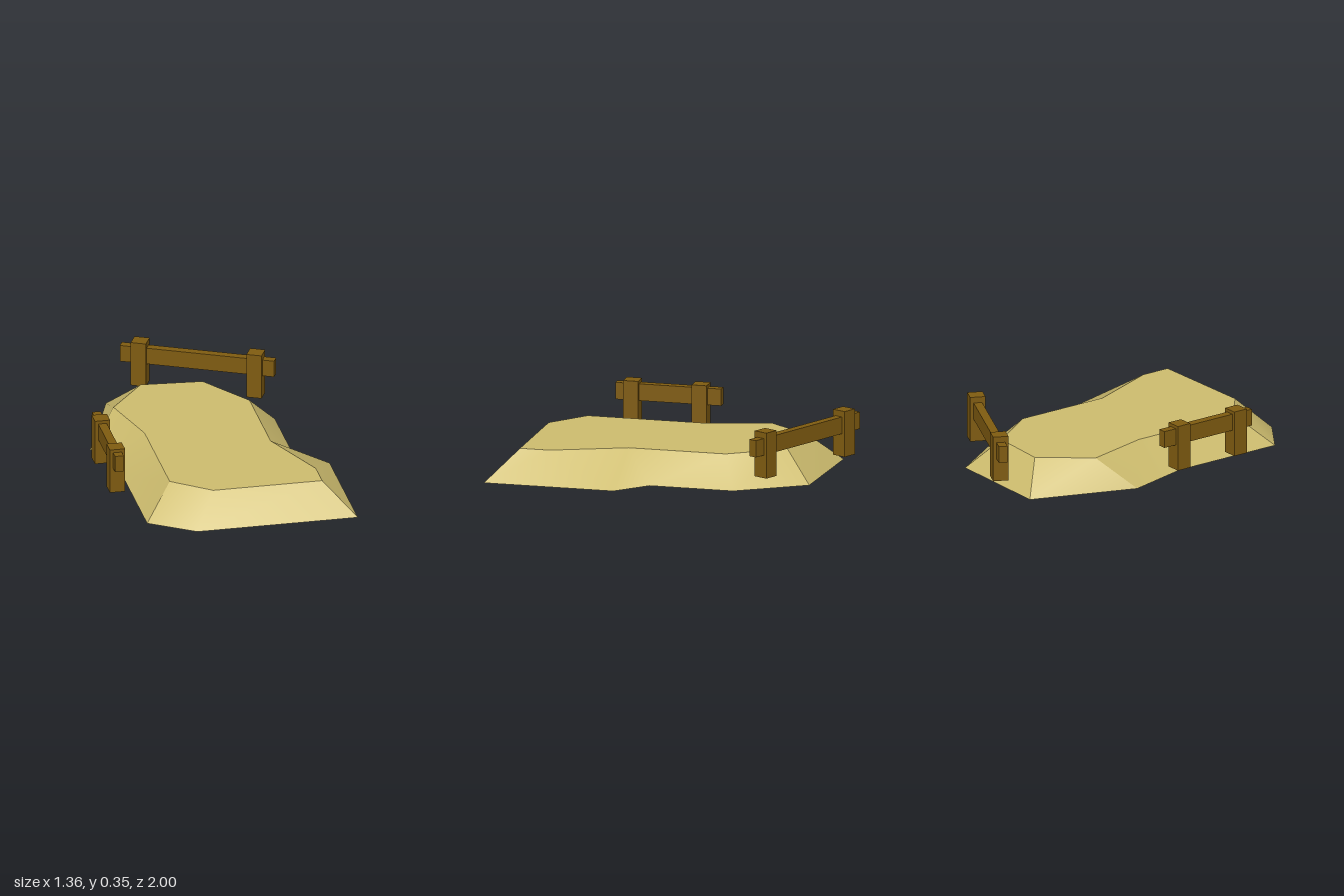
import * as THREE from 'three';
import { toCreasedNormals } from 'three/addons/utils/BufferGeometryUtils.js';

const HEIGHT = 0.175;

// Ground outline and plateau outline as matching [x, z] corners
const FOOT = [[-0.41, -0.87], [0.25, -0.84], [0.5, -0.45], [0.5, 0.05], [0.68, 0.22],
  [0.68, 0.995], [-0.27, 0.995], [-0.53, 0.82], [-0.53, 0.13], [-0.635, -0.26]];
const RIM = [[-0.24, -0.705], [0.12, -0.675], [0.33, -0.36], [0.33, 0.22], [0.505, 0.65],
  [0.505, 0.825], [-0.14, 0.825], [-0.36, 0.65], [-0.36, -0.04], [-0.46, -0.43]];

// Sloping banks between the two outlines, open underneath
function banksGeometry() {
  const pos = [];
  const n = FOOT.length;
  const foot = (i) => [FOOT[i][0], 0, FOOT[i][1]];
  const rim = (i) => [RIM[i][0], HEIGHT, RIM[i][1]];
  for (let i = 0; i < n; i++) {
    const j = (i + 1) % n;
    pos.push(...foot(j), ...foot(i), ...rim(i), ...foot(j), ...rim(i), ...rim(j));
  }
  const geo = new THREE.BufferGeometry();
  geo.setAttribute('position', new THREE.Float32BufferAttribute(pos, 3));
  geo.computeVertexNormals();
  return toCreasedNormals(geo, 0.55);
}

// Flat plateau
function plateauGeometry() {
  const shape = new THREE.Shape(RIM.map(([x, z]) => new THREE.Vector2(x, -z)));
  return new THREE.ShapeGeometry(shape).rotateX(-Math.PI / 2).translate(0, HEIGHT, 0);
}

function addMesh(parent, name, geometry, material) {
  const mesh = new THREE.Mesh(geometry, material);
  mesh.name = name;
  parent.add(mesh);
  return mesh;
}

// One rail through two square posts, running along local x
function makeFence(name, material, railLength, postXs, postBottom, postTop) {
  const fence = new THREE.Group();
  fence.name = name;
  addMesh(fence, 'rail', new THREE.BoxGeometry(railLength, 0.1, 0.05), material).position.y = 0.269;
  for (const x of postXs) {
    const post = addMesh(fence, 'post', new THREE.BoxGeometry(0.09, postTop - postBottom, 0.09), material);
    post.position.set(x, (postTop + postBottom) / 2, 0);
  }
  return fence;
}

export function createModel() {
  const model = new THREE.Group();
  model.name = 'fencedMound';

  const sand = new THREE.MeshStandardMaterial({ color: 0xcdbc6e, side: THREE.DoubleSide });
  sand.name = 'sand';
  const wood = new THREE.MeshStandardMaterial({ color: 0x7f5b10 });
  wood.name = 'wood';

  const mound = new THREE.Group();
  mound.name = 'mound';
  addMesh(mound, 'banks', banksGeometry(), sand);
  addMesh(mound, 'plateau', plateauGeometry(), sand);
  model.add(mound);

  // Fence along the right bank
  const sideFence = makeFence('sideFence', wood, 0.635, [-0.19, 0.22], 0.067, 0.338);
  sideFence.position.set(-0.637, 0, 0.235);
  sideFence.rotation.y = -Math.PI / 2;
  model.add(sideFence);

  // Fence set diagonally across the back corner
  const backFence = makeFence('backFence', wood, 0.92, [-0.345, 0.345], 0.083, 0.354);
  backFence.position.set(0.115, 0, -0.777);
  backFence.rotation.y = -0.455;
  model.add(backFence);

  return model;
}
